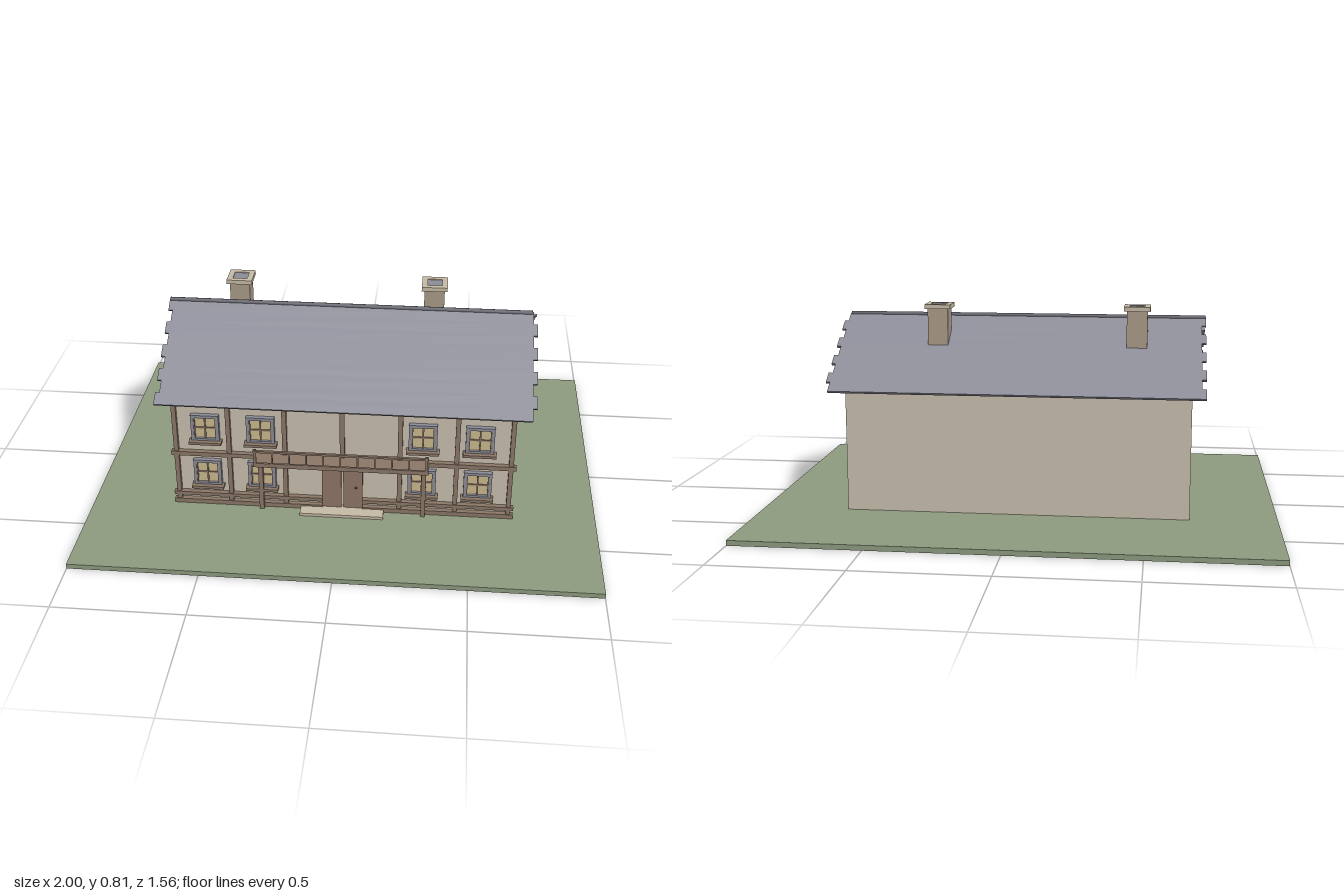
import * as THREE from 'three';

const mat = (name, color, side = THREE.FrontSide) => {
  const m = new THREE.MeshStandardMaterial({ color, side });
  m.name = name;
  return m;
};

export function createModel() {
  const M = {
    grass: mat('grass', 0x8f9c80),
    plaster: mat('plaster', 0xc9c0af),
    timber: mat('timber', 0x8c7868),
    door: mat('door', 0x8f7668),
    slate: mat('slate', 0x8d8d99),
    ridge: mat('ridge', 0x63636d),
    brick: mat('brick', 0xab9c89),
    stone: mat('stone', 0xc8bca6),
    pane: mat('pane', 0xcdb98f),
    iron: mat('iron', 0x4a4540),
  };
  const model = new THREE.Group();
  model.name = 'timberHouse';

  // box given by its limits on each axis
  const box = (parent, name, m, x0, x1, y0, y1, z0, z1) => {
    const mesh = new THREE.Mesh(new THREE.BoxGeometry(x1 - x0, y1 - y0, z1 - z0), m);
    mesh.position.set((x0 + x1) / 2, (y0 + y1) / 2, (z0 + z1) / 2);
    mesh.name = name;
    parent.add(mesh);
    return mesh;
  };
  const group = (name, x = 0, y = 0, z = 0) => {
    const g = new THREE.Group();
    g.name = name;
    g.position.set(x, y, z);
    model.add(g);
    return g;
  };

  box(model, 'ground', M.grass, -1, 1, 0, 0.02, -0.78, 0.78);
  box(model, 'walls', M.plaster, -0.665, 0.665, 0.02, 0.49, -0.33, 0.33);

  // timber framing on the front
  const frame = group('timberFrame');
  for (const x of [-0.655, -0.445, -0.225, 0.225, 0.445, 0.655])
    box(frame, 'post', M.timber, x - 0.009, x + 0.009, 0.025, 0.49, 0.33, 0.346);
  box(frame, 'centrePost', M.timber, -0.009, 0.009, 0.25, 0.49, 0.33, 0.346);
  box(frame, 'topBeam', M.timber, -0.675, 0.675, 0.478, 0.494, 0.33, 0.35);
  box(frame, 'middleBeam', M.timber, -0.675, 0.675, 0.246, 0.264, 0.33, 0.35);
  for (const s of [-1, 1]) {
    const [a, b] = s < 0 ? [-0.675, -0.08] : [0.08, 0.675];
    box(frame, 'lowerBeam', M.timber, a, b, 0.058, 0.073, 0.33, 0.35);
    box(frame, 'sillBeam', M.timber, a, b, 0.02, 0.039, 0.33, 0.35);
  }

  // windows with frame, cross bars and sill
  const makeWindow = (x, y) => {
    const g = group('window', x, y, 0.33);
    box(g, 'glass', M.pane, -0.046, 0.046, -0.05, 0.05, 0, 0.008);
    for (const s of [-1, 1]) {
      box(g, 'frameSide', M.slate, s * 0.049 - 0.006, s * 0.049 + 0.006, -0.058, 0.058, 0, 0.018);
      box(g, 'frameRail', M.slate, -0.055, 0.055, s * 0.052 - 0.006, s * 0.052 + 0.006, 0, 0.018);
      box(g, 'innerSide', M.timber, s * 0.041 - 0.002, s * 0.041 + 0.002, -0.046, 0.046, 0, 0.014);
    }
    box(g, 'crossUpright', M.timber, -0.003, 0.003, -0.046, 0.046, 0, 0.013);
    box(g, 'crossBar', M.timber, -0.041, 0.041, -0.003, 0.003, 0, 0.012);
    box(g, 'sill', M.timber, -0.064, 0.064, -0.066, -0.055, 0, 0.036);
  };
  for (const x of [-0.535, -0.318, 0.312, 0.53])
    for (const y of [0.374, 0.168]) makeWindow(x, y);

  // double door and step
  const door = group('doors');
  box(door, 'leftLeaf', M.door, 0.004, 0.08, 0.03, 0.248, 0.33, 0.345);
  box(door, 'rightLeaf', M.door, -0.08, -0.004, 0.03, 0.248, 0.33, 0.345);
  const knob = new THREE.Mesh(new THREE.SphereGeometry(0.005, 10, 8), M.iron);
  knob.name = 'knob';
  knob.position.set(0.055, 0.13, 0.348);
  door.add(knob);
  box(model, 'doorStep', M.stone, -0.165, 0.165, 0.02, 0.032, 0.33, 0.4);

  // balcony above the door
  const balcony = group('balcony');
  box(balcony, 'floor', M.timber, -0.338, 0.338, 0.258, 0.268, 0.33, 0.425);
  box(balcony, 'topRail', M.timber, -0.338, 0.338, 0.324, 0.332, 0.416, 0.426);
  box(balcony, 'bottomRail', M.timber, -0.338, 0.338, 0.268, 0.276, 0.417, 0.425);
  for (let i = 0; i <= 10; i++) {
    const x = -0.33 + i * 0.066;
    const w = i % 10 ? 0.003 : 0.005;
    box(balcony, 'baluster', M.timber, x - w, x + w, 0.268, i % 10 ? 0.325 : 0.338, 0.418, 0.425);
  }
  for (const s of [-1, 1])
    box(balcony, 'support', M.timber, s * 0.32 - 0.009, s * 0.32 + 0.009, 0.02, 0.26, 0.345, 0.366);

  // roof slopes made of staggered slate courses
  const angle = Math.atan2(0.255, 0.39), slope = 0.468, rows = 9, h = slope / rows;
  for (const s of [1, -1]) {
    const g = group(s > 0 ? 'frontRoof' : 'backRoof', 0, 0.755, 0);
    g.rotation.x = s * angle;
    for (let i = 0; i < rows; i++) {
      const d = i % 2 ? 0.008 : -0.008;
      const z0 = s * i * h, z1 = s * (i + 1) * h;
      box(g, 'slateCourse', M.slate, -0.709 + d, 0.727 + d,
        -0.005, 0.004, Math.min(z0, z1), Math.max(z0, z1));
    }
  }
  const ridge = new THREE.Mesh(new THREE.CylinderGeometry(0.01, 0.01, 1.43, 8), M.ridge);
  ridge.name = 'ridge';
  ridge.rotation.z = Math.PI / 2;
  ridge.position.set(0, 0.755, 0);
  model.add(ridge);

  // chimneys with a hollow cap around the flue
  for (const x of [-0.45, 0.33]) {
    const g = group('chimney', x, 0, -0.122);
    box(g, 'stack', M.brick, -0.04, 0.04, 0.615, 0.803, -0.04, 0.04);
    for (const s of [-1, 1]) {
      box(g, 'capSide', M.stone, s * 0.04 - 0.011, s * 0.04 + 0.011, 0.797, 0.814, -0.051, 0.051);
      box(g, 'capEnd', M.stone, -0.029, 0.029, 0.797, 0.814, s * 0.04 - 0.011, s * 0.04 + 0.011);
    }
    box(g, 'flue', M.slate, -0.029, 0.029, 0.8, 0.811, -0.029, 0.029);
  }
  return model;
}
